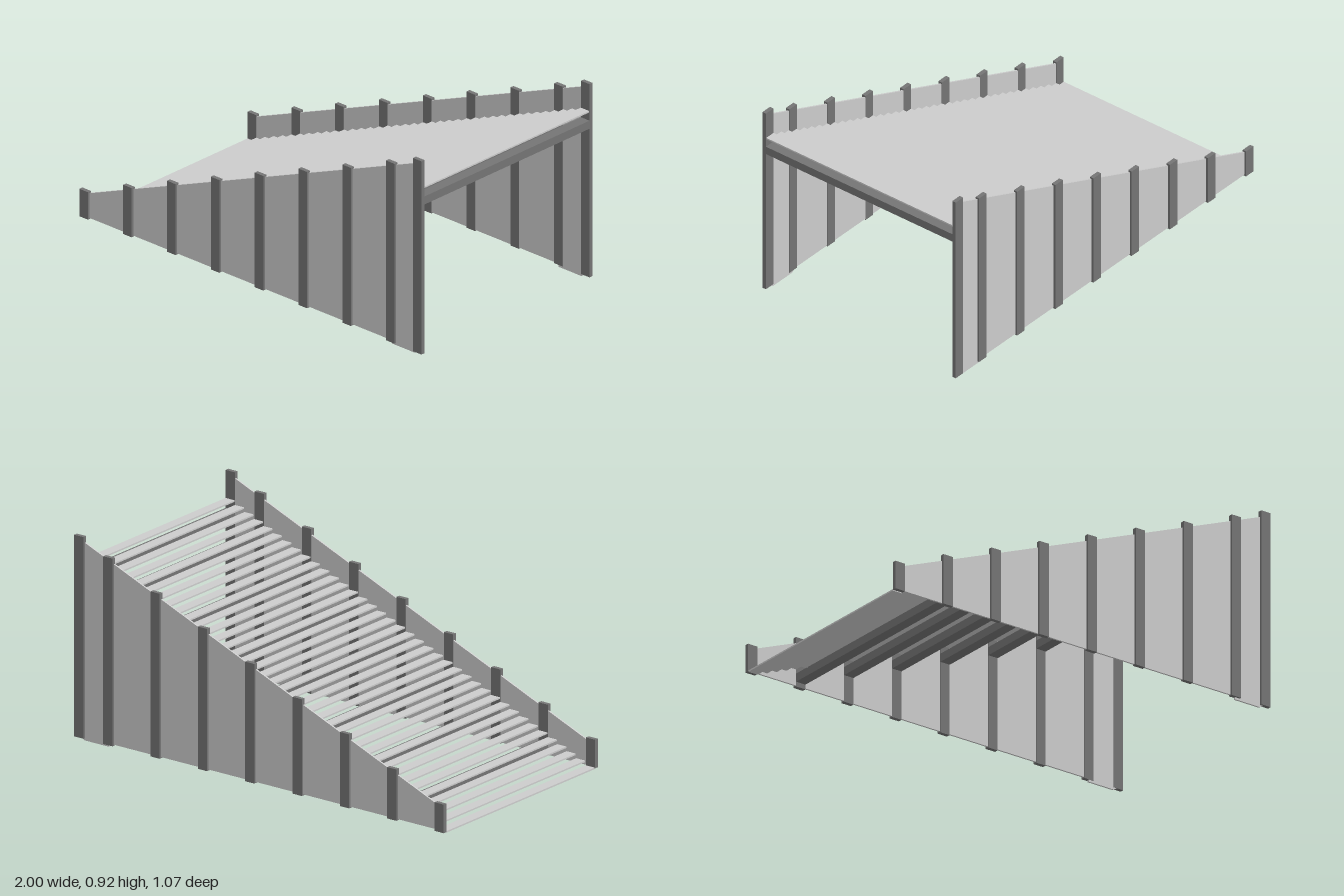
import * as THREE from 'three';

export function createModel() {
  const model = new THREE.Group();
  const light = new THREE.MeshStandardMaterial({ color: 0xcccccc, side: THREE.DoubleSide });
  const dark = new THREE.MeshStandardMaterial({ color: 0x747474 });

  // box placed by its minimum and maximum corners
  const box = (name, mat, [x0, y0, z0], [x1, y1, z1], parent) => {
    const mesh = new THREE.Mesh(new THREE.BoxGeometry(x1 - x0, y1 - y0, z1 - z0), mat);
    mesh.position.set((x0 + x1) / 2, (y0 + y1) / 2, (z0 + z1) / 2);
    mesh.name = name;
    parent.add(mesh);
  };

  const slope = 0.4015;
  const postTop = x => 0.531 + slope * x;
  const panelTop = x => postTop(x) - 0.018;
  const deckTop = x => 0.402 + slope * x;
  const postX = [-0.975, -0.719, -0.463, -0.207, 0.05, 0.306, 0.562, 0.818, 0.975];

  // side walls: one sloped panel per bay, with posts at the joints
  for (const side of [1, -1]) {
    const wall = new THREE.Group();
    wall.name = side > 0 ? 'frontWall' : 'backWall';
    postX.forEach((x, i) => {
      const [a, b] = [0.514 * side, 0.533 * side].sort((p, q) => p - q);
      box('post', dark, [x - 0.025, 0.01, a], [x + 0.025, postTop(x), b], wall);
      if (i === postX.length - 1) return;
      const end = postX[i + 1];
      const bottom = i === postX.length - 2 ? 0 : 0.015;
      const stop = bottom ? end : end - 0.025;
      const shape = new THREE.Shape([
        new THREE.Vector2(x, bottom), new THREE.Vector2(stop, bottom),
        new THREE.Vector2(end, bottom + 0.015), new THREE.Vector2(end, panelTop(end)),
        new THREE.Vector2(x, panelTop(x)),
      ]);
      const panel = new THREE.Mesh(
        new THREE.ExtrudeGeometry(shape, { depth: 0.008, bevelEnabled: false }), light);
      panel.position.z = side > 0 ? 0.5155 : -0.5235;
      panel.name = 'sidePanel';
      wall.add(panel);
    });
    model.add(wall);
  }

  // deck: level slats that climb in small steps
  const deck = new THREE.Group();
  deck.name = 'deck';
  const count = 39, pitch = 2 / count;
  for (let i = 0; i < count; i++) {
    const x = -1 + (i + 0.5) * pitch;
    const y = deckTop(x) + 0.003;
    box('slat', light, [x - 0.0245, y - 0.007, -0.513], [x + 0.0245, y, 0.513], deck);
  }
  model.add(deck);

  // cross beams beneath the deck, one at each pair of posts
  for (const x of postX.slice(1)) {
    const top = deckTop(x) - 0.043;
    box('crossBeam', dark, [x - 0.025, top - 0.038, -0.515], [x + 0.025, top, 0.515], model);
  }
  return model;
}
